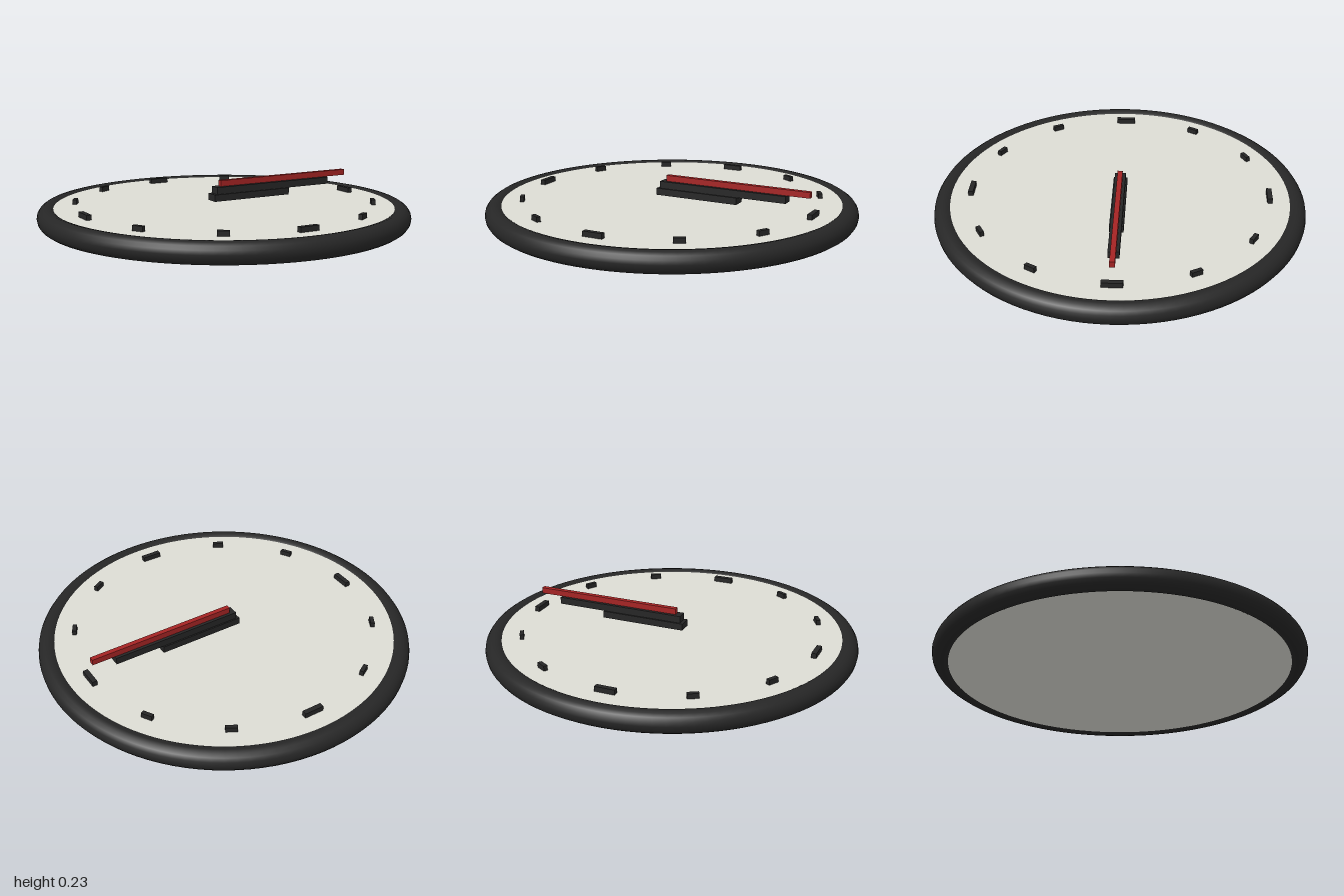
import * as THREE from 'three';

const black = new THREE.MeshStandardMaterial({ color: 0x262626 });
black.name = 'black';
const ivory = new THREE.MeshStandardMaterial({ color: 0xdcdcd4 });
ivory.name = 'ivory';
const red = new THREE.MeshStandardMaterial({ color: 0xa52424 });
red.name = 'red';

function add(parent, name, geometry, material, x = 0, y = 0, z = 0) {
  const mesh = new THREE.Mesh(geometry, material);
  mesh.name = name;
  mesh.position.set(x, y, z);
  parent.add(mesh);
  return mesh;
}

// A hand lies along x from x0 to x1, between heights y0 and y1
function addHand(parent, name, x0, x1, y0, y1, width, material) {
  const geometry = new THREE.BoxGeometry(x1 - x0, y1 - y0, width);
  add(parent, name, geometry, material, (x0 + x1) / 2, (y0 + y1) / 2, 0);
}

export function createModel() {
  const clock = new THREE.Group();
  clock.name = 'wallClock';

  // Round rim and the dial disc set into it
  const rim = new THREE.TorusGeometry(0.943, 0.057, 16, 100).rotateX(Math.PI / 2);
  add(clock, 'rim', rim, black, 0, 0.057, 0);
  add(clock, 'dial', new THREE.CylinderGeometry(0.943, 0.943, 0.094, 100), ivory, 0, 0.057, 0);

  // Twelve hour marks, longer at the quarters
  const marks = new THREE.Group();
  marks.name = 'hourMarks';
  clock.add(marks);
  for (let i = 0; i < 12; i++) {
    const angle = (i * Math.PI) / 6;
    const quarter = i % 3 === 0;
    const geometry = new THREE.BoxGeometry(quarter ? 0.027 : 0.022, 0.03, quarter ? 0.107 : 0.06);
    const mark = add(marks, quarter ? 'quarterMark' : 'hourMark', geometry, black,
      0.805 * Math.cos(angle), 0.116, -0.805 * Math.sin(angle));
    mark.rotation.y = angle;
  }

  // Stacked hands
  addHand(clock, 'hourHand', -0.075, 0.395, 0.127, 0.164, 0.074, black);
  addHand(clock, 'minuteHand', -0.058, 0.665, 0.164, 0.202, 0.058, black);
  addHand(clock, 'secondHand', -0.027, 0.79, 0.203, 0.235, 0.027, red);

  return clock;
}
